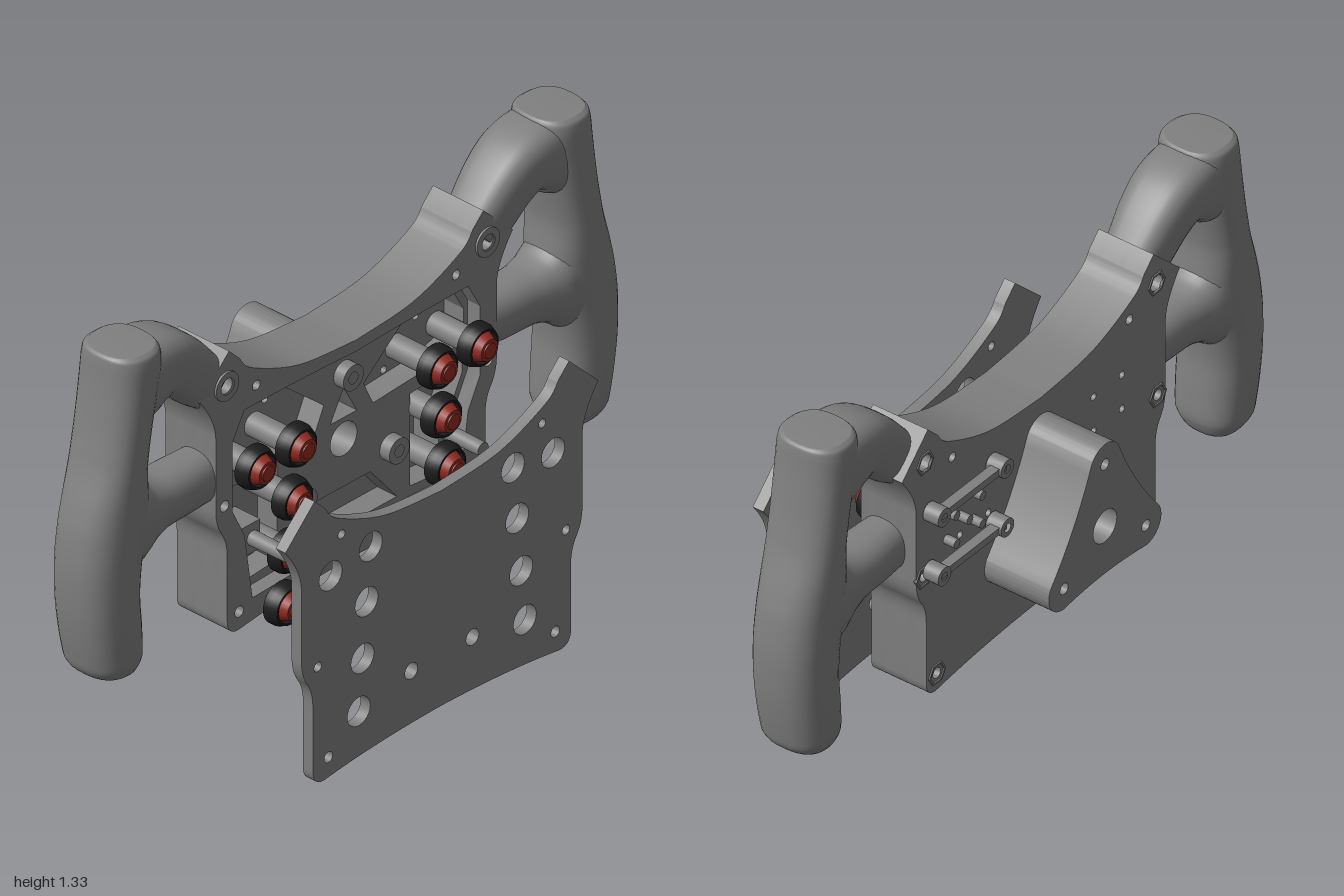
import * as THREE from 'three';
import { toCreasedNormals } from 'three/addons/utils/BufferGeometryUtils.js';

const grey = new THREE.MeshStandardMaterial({ color: 0x808080 });
const red = new THREE.MeshStandardMaterial({ color: 0x922a20 });
const black = new THREE.MeshStandardMaterial({ color: 0x1c1c1c, side: THREE.DoubleSide });
const BODY_Y = 0.315; // the housing uses the cover outline, raised by this much
const SIDES = [-1, 1];

function add(parent, name, geometry, material = grey) {
  const mesh = new THREE.Mesh(geometry, material);
  mesh.name = name;
  parent.add(mesh);
  return mesh;
}

// Closed outline from its right half, mirrored over x = 0
function mirrored(half) {
  const pts = half.getPoints(10);
  const left = pts.slice(1, -1).reverse().map(p => new THREE.Vector2(-p.x, p.y));
  return [...pts, ...left];
}

function coverOutline() {
  const p = new THREE.Path();
  p.moveTo(0, 0.031);
  p.quadraticCurveTo(0.25, 0.028, 0.435, 0.002);
  p.bezierCurveTo(0.465, -0.003, 0.485, 0.012, 0.485, 0.045);
  p.lineTo(0.485, 0.24);
  p.quadraticCurveTo(0.485, 0.29, 0.506, 0.32);
  p.quadraticCurveTo(0.528, 0.355, 0.528, 0.4);
  p.lineTo(0.528, 0.62);
  p.quadraticCurveTo(0.53, 0.68, 0.588, 0.757);
  p.lineTo(0.478, 0.865);
  p.lineTo(0.438, 0.825);
  p.splineThru([[0.39, 0.775], [0.215, 0.706], [0, 0.685]].map(a => new THREE.Vector2(...a)));
  return mirrored(p);
}

function rimOpening() {
  const p = new THREE.Path();
  p.moveTo(0, 0.09);
  p.lineTo(0.39, 0.075);
  p.lineTo(0.42, 0.28);
  p.lineTo(0.465, 0.37);
  p.lineTo(0.465, 0.58);
  p.lineTo(0.42, 0.66);
  p.quadraticCurveTo(0.2, 0.66, 0, 0.65);
  return new THREE.Path(mirrored(p));
}

const circle = (x, y, r) => new THREE.Path().absarc(x, y, r, 0, Math.PI * 2, true);
const pair = (x, y, r) => SIDES.map(s => circle(s * x, y, r));
const polygon = (pts, s = 1) => new THREE.Path(pts.map(([x, y]) => new THREE.Vector2(s * x, y)));

// Flat slab between two depths
function slab(outline, holes, z0, z1) {
  const shape = new THREE.Shape(outline);
  shape.holes.push(...holes);
  const g = new THREE.ExtrudeGeometry(shape, { depth: z1 - z0, bevelEnabled: false, curveSegments: 12 });
  g.translate(0, 0, z0);
  return toCreasedNormals(g, 0.5);
}

// Round bar along z
function rod(x, y, z0, z1, r0, r1 = r0, sides = 24) {
  const g = new THREE.CylinderGeometry(r1, r0, z1 - z0, sides);
  g.rotateX(Math.PI / 2);
  g.translate(x, y, (z0 + z1) / 2);
  return g;
}

// Ring around a bolt hole
function collar(x, y, z0, z1, r, hole) {
  return slab(circle(x, y, r).getPoints(12), [circle(x, y, hole)], z0, z1);
}

// Smooth limb through stations [x, y, halfWidth, halfDepth]; a lower power is squarer
function limb(stations, s, steps, z, power) {
  const path = new THREE.CatmullRomCurve3(stations.map(a => new THREE.Vector3(a[0] * s, a[1], z)));
  const size = new THREE.CatmullRomCurve3(stations.map(a => new THREE.Vector3(a[2], a[3], 0)));
  const n = 32, pos = [], idx = [];
  const squash = v => Math.sign(v) * Math.abs(v) ** power;
  for (let i = 0; i <= steps; i++) {
    const c = path.getPoint(i / steps), t = path.getTangent(i / steps), k = size.getPoint(i / steps);
    for (let j = 0; j < n; j++) {
      const a = j / n * Math.PI * 2, u = squash(Math.cos(a)) * k.x;
      pos.push(c.x + t.y * u, c.y - t.x * u, c.z + squash(Math.sin(a)) * k.y);
      if (i === steps) continue;
      const p = i * n + j, q = i * n + (j + 1) % n;
      idx.push(p, p + n, q, q, p + n, q + n);
    }
  }
  const ends = pos.length / 3;
  pos.push(...path.getPoint(0).toArray(), ...path.getPoint(1).toArray());
  for (let j = 0; j < n; j++) {
    const k = (j + 1) % n;
    idx.push(ends, j, k, ends + 1, steps * n + k, steps * n + j);
  }
  const g = new THREE.BufferGeometry();
  g.setAttribute('position', new THREE.Float32BufferAttribute(pos, 3));
  g.setIndex(idx);
  g.computeVertexNormals();
  return g;
}

function button(x, y) {
  const g = new THREE.Group();
  g.name = 'pushButton';
  add(g, 'buttonStem', rod(x, y, -0.08, 0.06, 0.035));
  const ring = [[0.03, 0.055], [0.062, 0.055], [0.062, 0.075], [0.053, 0.097], [0.047, 0.097], [0.045, 0.08]];
  const lathe = new THREE.LatheGeometry(ring.map(a => new THREE.Vector2(...a)), 28);
  lathe.rotateX(Math.PI / 2);
  lathe.translate(x, y, 0);
  add(g, 'buttonRing', toCreasedNormals(lathe, 0.5), black);
  add(g, 'buttonCap', rod(x, y, 0.08, 0.115, 0.046, 0.032), red);
  add(g, 'buttonTip', rod(x, y, 0.11, 0.119, 0.024, 0.022), red);
  return g;
}

export function createModel() {
  const model = new THREE.Group();
  const outline = coverOutline();

  // Front cover, floating ahead of the housing
  const coverHoles = [
    [0.418, 0.612, 0.043], [0.267, 0.634, 0.043], [0.283, 0.473, 0.043], [0.298, 0.307, 0.043],
    [0.312, 0.152, 0.043], [0.115, 0.187, 0.024], [0.426, 0.064, 0.016], [0.466, 0.356, 0.014], [0.377, 0.72, 0.013],
  ].flatMap(h => pair(...h));
  add(model, 'frontCover', slab(outline, coverHoles, 0.32, 0.355)).position.x = -0.015;

  // Housing: back wall, pocketed web and rim
  const housing = new THREE.Group();
  housing.name = 'housing';
  housing.position.y = BODY_Y;
  model.add(housing);
  const edgeHoles = [[0.49, 0.765, 0.024], [0.375, 0.715, 0.014], [0.44, 0.055, 0.016], [0.495, 0.4, 0.016]]
    .flatMap(h => pair(...h));
  const hubHoles = [circle(0, 0.365, 0.05), circle(0, 0.565, 0.017), ...pair(0.173, 0.265, 0.017)];
  const pinHoles = SIDES.flatMap(s => [-0.06, 0.06].flatMap(dx => [-0.055, 0.055].map(dy =>
    circle(s * 0.283 + dx, 0.5 + dy, 0.011))));
  add(housing, 'backWall', slab(outline, [...edgeHoles, ...hubHoles, ...pinHoles], -0.145, -0.08));
  const upper = [[0.45, 0.47], [0.45, 0.56], [0.41, 0.63], [0.25, 0.645], [0.075, 0.5], [0.11, 0.425], [0.35, 0.44]];
  const lower = [[0.25, 0.11], [0.375, 0.1], [0.4, 0.28], [0.445, 0.37], [0.445, 0.41], [0.25, 0.39]];
  const pockets = [
    ...SIDES.flatMap(s => [polygon(upper, s), polygon(lower, s)]),
    polygon([[-0.2, 0.1], [0.2, 0.1], [0.1, 0.22], [-0.1, 0.22]]),
    polygon([[-0.05, 0.43], [0.05, 0.43], [0, 0.52]]),
  ];
  add(housing, 'pocketedWeb', slab(outline, [...edgeHoles, ...hubHoles, ...pockets], -0.08, -0.01));
  add(housing, 'rim', slab(outline, [rimOpening(), ...edgeHoles], -0.01, 0.035));
  add(housing, 'topBoss', collar(0, 0.565, -0.01, 0.025, 0.038, 0.017));
  for (const s of SIDES) {
    add(housing, 'earCollar', collar(s * 0.49, 0.765, 0.03, 0.042, 0.043, 0.024));
    add(housing, 'lowerBoss', collar(s * 0.173, 0.265, -0.01, 0.025, 0.038, 0.017));
    for (const [x, y] of [[0.49, 0.765], [0.44, 0.055], [0.495, 0.4]]) {
      const nut = new THREE.TorusGeometry(0.032, 0.006, 6, 6);
      nut.translate(s * x, y, -0.143);
      add(housing, 'hexNut', toCreasedNormals(nut, 0.3));
    }
  }

  // Three-lobed hub behind, with slightly hollow flanks
  const hub = new THREE.Shape();
  for (let i = 0; i < 3; i++) {
    const a = Math.PI / 2 + i * Math.PI * 2 / 3, mid = a + Math.PI / 3, next = a + Math.PI * 2 / 3;
    hub.absarc(Math.cos(a) * 0.2, Math.sin(a) * 0.2, 0.065, a - 1.05, a + 1.05);
    hub.quadraticCurveTo(Math.cos(mid) * 0.14, Math.sin(mid) * 0.14,
      Math.cos(next) * 0.2 + Math.cos(next - 1.05) * 0.065, Math.sin(next) * 0.2 + Math.sin(next - 1.05) * 0.065);
  }
  const hubCuts = [circle(0, 0, 0.05), circle(0, 0.2, 0.017), ...pair(0.173, -0.1, 0.017)];
  add(model, 'rearHub', slab(hub.getPoints(12), hubCuts, -0.355, -0.145)).position.y = 0.68;

  // Handles: grip, upper arm and spoke on each side
  const grip = [
    [0.878, 0.36, 0.045, 0.05], [0.876, 0.37, 0.07, 0.082], [0.876, 0.41, 0.09, 0.102],
    [0.887, 0.5, 0.097, 0.106], [0.897, 0.6, 0.1, 0.107], [0.893, 0.71, 0.107, 0.107],
    [0.878, 0.8, 0.112, 0.107], [0.867, 0.88, 0.104, 0.107], [0.853, 1.0, 0.081, 0.107],
    [0.84, 1.08, 0.079, 0.107], [0.82, 1.2, 0.083, 0.107], [0.808, 1.28, 0.088, 0.106],
    [0.807, 1.315, 0.086, 0.1], [0.807, 1.327, 0.078, 0.085],
  ];
  const arm = [[0.84, 1.2, 0.124, 0.095], [0.79, 1.205, 0.12, 0.098], [0.74, 1.218, 0.105, 0.1],
    [0.68, 1.217, 0.089, 0.098], [0.62, 1.182, 0.084, 0.092], [0.55, 1.112, 0.08, 0.082], [0.505, 1.07, 0.072, 0.072]];
  const spoke = [[0.88, 0.795, 0.17, 0.1], [0.8, 0.795, 0.135, 0.1], [0.745, 0.795, 0.095, 0.088],
    [0.69, 0.796, 0.079, 0.08], [0.6, 0.796, 0.077, 0.077], [0.49, 0.796, 0.077, 0.068]];
  for (const s of SIDES) {
    const handle = new THREE.Group();
    handle.name = s > 0 ? 'leftHandle' : 'rightHandle';
    add(handle, 'grip', limb(grip, s, 60, -0.0375, 0.8));
    add(handle, 'upperArm', limb(arm, s, 32, -0.042, 0.66));
    add(handle, 'spoke', limb(spoke, s, 24, -0.0375, 0.85));
    model.add(handle);

    // Buttons and toggle switch
    for (const [x, y] of [[0.417, 0.815], [0.265, 0.815], [0.28, 0.66], [0.295, 0.505], [0.31, 0.352]])
      model.add(button(s * x, y));
    add(model, 'toggleBase', new THREE.BoxGeometry(0.07, 0.09, 0.09)).position.set(s * 0.37, 0.55, -0.035);
    add(model, 'toggleLever', rod(s * 0.363, 0.55, 0, 0.143, 0.022, 0.02));
  }

  // Small bracket on the back, left side only
  const bracket = new THREE.Group();
  bracket.name = 'rearBracket';
  model.add(bracket);
  for (const y of [0.73, 0.92]) {
    add(bracket, 'bracketBar', new THREE.BoxGeometry(0.28, 0.022, 0.03)).position.set(0.345, y, -0.178);
    for (const x of [0.212, 0.478]) {
      add(bracket, 'bracketPost', rod(x, y, -0.18, -0.14, 0.02));
      add(bracket, 'bracketScrew', collar(x, y, -0.2, -0.15, 0.028, 0.012));
    }
  }
  for (const [x, y] of [[0.29, 0.87], [0.4, 0.87], [0.345, 0.825], [0.29, 0.78], [0.4, 0.78]])
    add(bracket, 'bracketPin', rod(x, y, -0.18, -0.14, 0.014, 0.014, 12));
  return model;
}
